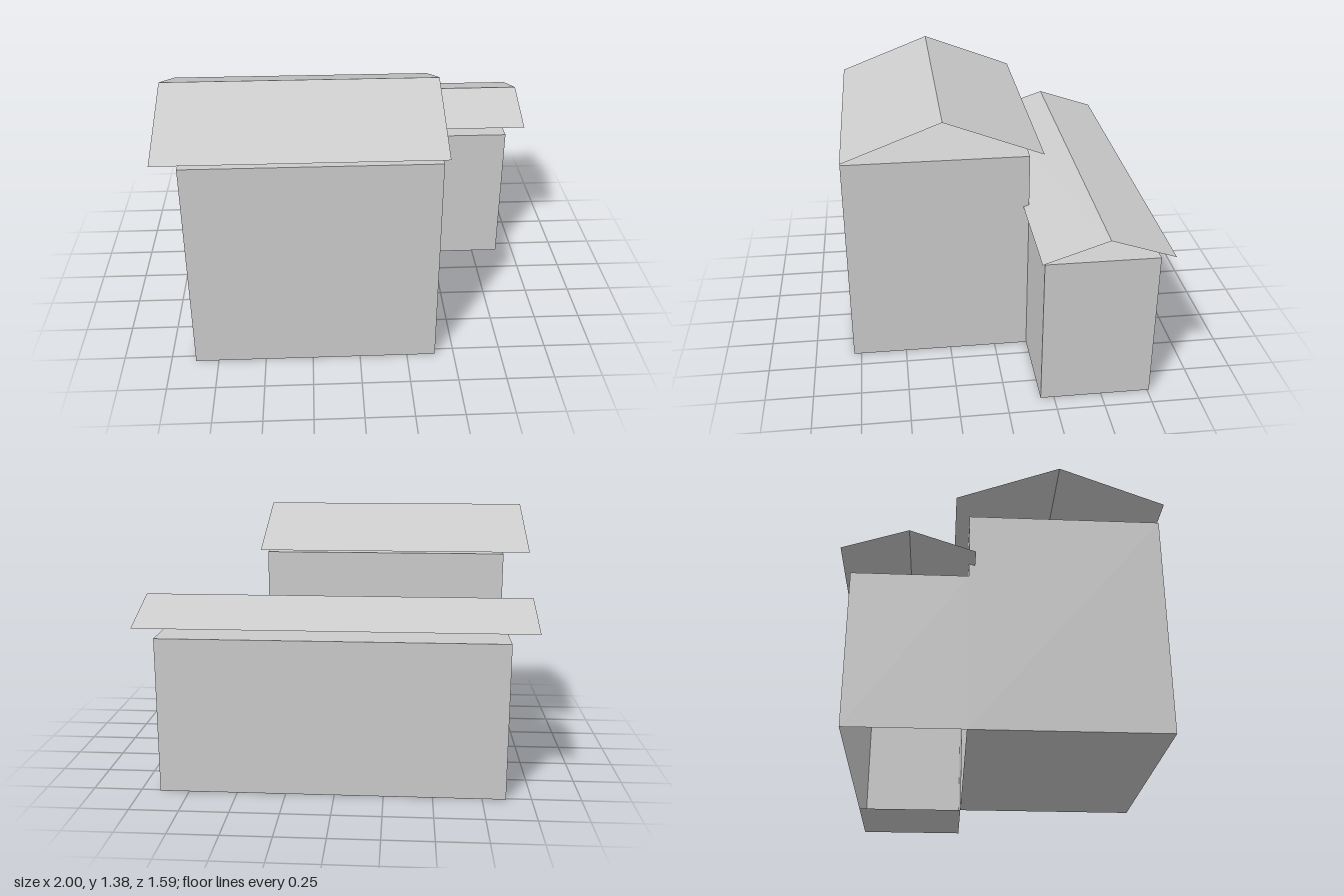
import * as THREE from 'three';

const plaster = new THREE.MeshStandardMaterial({ color: 0xcccccc, side: THREE.DoubleSide });
plaster.name = 'light grey';

// Flat convex panel from corners listed counter-clockwise as seen from outside
function panel(name, ...corners) {
  const index = [];
  for (let i = 1; i < corners.length - 1; i++) index.push(0, i, i + 1);
  const geometry = new THREE.BufferGeometry();
  geometry.setAttribute('position', new THREE.Float32BufferAttribute(corners.flat(), 3));
  geometry.setIndex(index);
  geometry.computeVertexNormals();
  const mesh = new THREE.Mesh(geometry, plaster);
  mesh.name = name;
  return mesh;
}

// Vertical wall between two floor points [x, z], outside on the right-hand side
const wall = (name, [x0, z0], [x1, z1], bottom, top) =>
  panel(name, [x0, bottom, z0], [x1, bottom, z1], [x1, top, z1], [x0, top, z0]);

// Horizontal slab face over a rectangle, facing up or down
function level(name, x0, x1, z0, z1, y, up) {
  const corners = [[x0, y, z1], [x1, y, z1], [x1, y, z0], [x0, y, z0]];
  return panel(name, ...(up ? corners : corners.reverse()));
}

// Open gable roof made of two thin slopes
function gableRoof(name, x0, x1, back, ridge, front, eaveY, ridgeY) {
  const roof = new THREE.Group();
  roof.name = name;
  roof.add(
    panel('frontSlope', [x0, eaveY, front], [x1, eaveY, front], [x1, ridgeY, ridge], [x0, ridgeY, ridge]),
    panel('backSlope', [x1, eaveY, back], [x0, eaveY, back], [x0, ridgeY, ridge], [x1, ridgeY, ridge])
  );
  return roof;
}

export function createModel() {
  const house = new THREE.Group();
  house.name = 'house';

  const west = -0.87, mid = 0.4, east = 0.9;
  const front = 0.79, step = -0.18, back = -0.76;
  const low = 0.81, high = 1.16;

  // Tall front block, open to the rear wing at ground level
  house.add(
    wall('frontWall', [west, front], [mid, front], 0, high),
    wall('tallSideWall', [mid, front], [mid, step], 0, high),
    wall('upperBackWall', [mid, step], [west, step], low, high),
    wall('tallPlainWall', [west, step], [west, front], 0, high),
    level('tallCeiling', west, mid, step, front, high, true),
    level('tallFloor', west, mid, step, front, 0, false)
  );

  // Low rear wing, floored only under its projecting end
  house.add(
    wall('wingFrontWall', [mid, step], [east, step], 0, low),
    wall('wingEndWall', [east, step], [east, back], 0, low),
    wall('wingBackWall', [east, back], [west, back], 0, low),
    wall('wingPlainWall', [west, back], [west, step], 0, low),
    level('wingCeiling', west, east, back, step, low, true),
    level('wingFloor', mid, east, back, step, 0, false)
  );

  // Roofs
  house.add(
    gableRoof('tallRoof', -1, 0.43, -0.25, 0.27, 0.79, 1.18, 1.38),
    gableRoof('wingRoof', -1, 1, -0.8, -0.475, -0.15, 0.87, 0.98)
  );

  // Flush windows on the side walls
  const addWindow = (x, z0, z1, y0, y1) =>
    house.add(wall('window', [x + 0.002, z0], [x + 0.002, z1], y0, y1));
  for (const [y0, y1] of [[0.05, 0.31], [0.48, 0.745], [0.845, 1.11]]) {
    addWindow(mid, 0.455, 0.35, y0, y1);
    addWindow(mid, 0.085, -0.02, y0, y1);
  }
  for (const [y0, y1] of [[0.02, 0.28], [0.45, 0.715]]) addWindow(east, -0.28, -0.48, y0, y1);

  return house;
}
